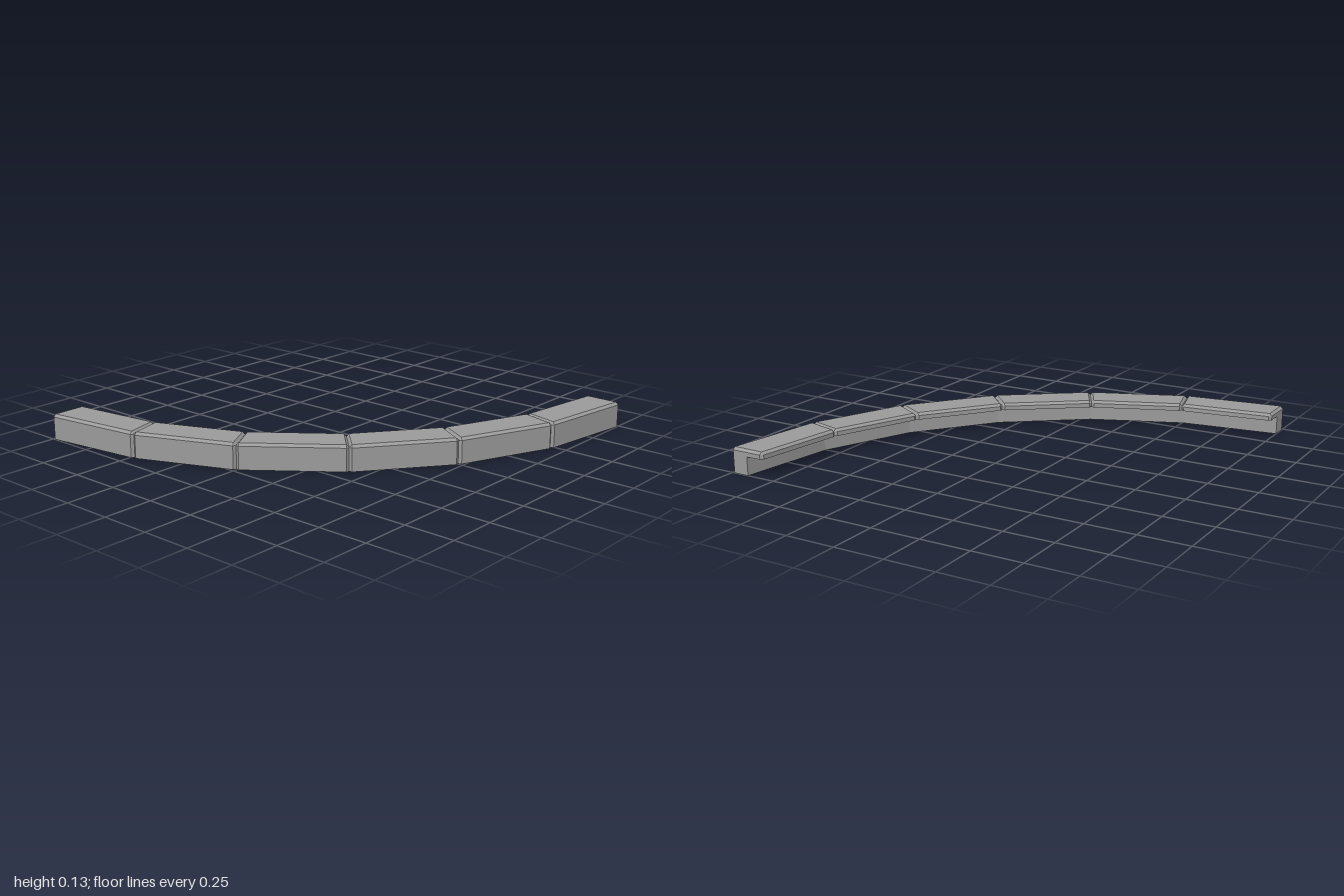
import * as THREE from 'three';

const R = 2, INNER = 1.811, LEG = 1.904;   // outer face, slab edge, back of the upright leg
const H = 0.128, SLAB = 0.035, C = 0.013;  // height, slab thickness, chamfer
const COUNT = 6, STEP = Math.PI / 2 / COUNT;

// L-shaped profiles as [radius, y]: the full one and the one drawn in at the joints
const FULL = [[R, 0], [R, H - C], [R - C, H], [LEG, H], [INNER + C, H],
  [INNER, H - C], [INNER, H - SLAB], [LEG, H - SLAB], [LEG, 0]];
const JOINT = [[R - C, 0], [R - C, H - C], [R - C, H - C], [LEG, H - C], [INNER + C, H - C],
  [INNER + C, H - C], [INNER + C, H - SLAB], [LEG, H - SLAB], [LEG, 0]];

// Straight block between two mitred planes of the quarter circle
function blockGeometry(a0, a1) {
  const inset = C / (2 * R * Math.sin((a1 - a0) / 2));
  const sections = [[0, JOINT], [inset, FULL], [1 - inset, FULL], [1, JOINT]];
  const n = FULL.length, positions = [], index = [];
  for (const [t, profile] of sections) {
    for (const [r, y] of profile) {
      positions.push(
        -1 + r * THREE.MathUtils.lerp(Math.sin(a0), Math.sin(a1), t),
        y,
        -1 + r * THREE.MathUtils.lerp(Math.cos(a0), Math.cos(a1), t));
    }
  }
  for (let s = 0; s < sections.length - 1; s++) {
    for (let i = 0; i < n; i++) {
      const a = s * n + i, b = s * n + (i + 1) % n;
      index.push(a, a + n, b + n, a, b + n, b);
    }
  }
  // End caps: leg and slab
  const last = (sections.length - 1) * n;
  for (const [a, b, c, d] of [[0, 2, 3, 8], [3, 4, 6, 7]]) {
    index.push(a, b, c, a, c, d);
    index.push(last + a, last + c, last + b, last + a, last + d, last + c);
  }
  const geometry = new THREE.BufferGeometry();
  geometry.setAttribute('position', new THREE.Float32BufferAttribute(positions, 3));
  geometry.setIndex(index);
  const flat = geometry.toNonIndexed();
  flat.computeVertexNormals();
  return flat;
}

export function createModel() {
  const group = new THREE.Group();
  group.name = 'curvedEdging';
  const material = new THREE.MeshStandardMaterial({ color: 0x9b9b9b, flatShading: true });
  for (let i = 0; i < COUNT; i++) {
    const block = new THREE.Mesh(blockGeometry(i * STEP, (i + 1) * STEP), material);
    block.name = `edgingBlock${i + 1}`;
    group.add(block);
  }
  return group;
}
